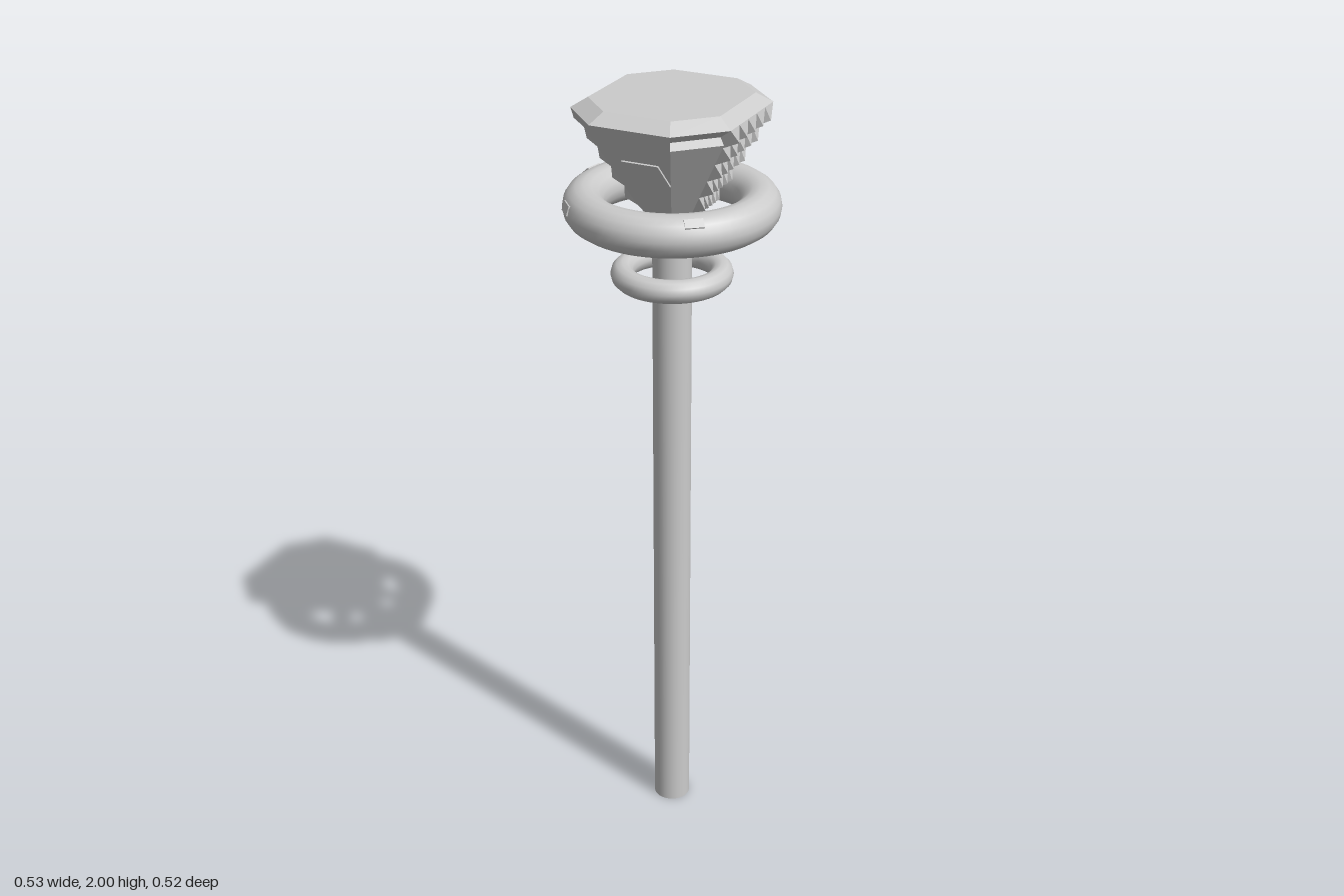
import * as THREE from 'three';

const V = (x, y, z) => new THREE.Vector3(x, y, z);
const smooth = new THREE.MeshStandardMaterial({ color: 0xcccccc });
const faceted = new THREE.MeshStandardMaterial({ color: 0xcccccc, flatShading: true });

// Collects polygons (counter-clockwise from outside) as triangle fans.
function polyMesh(name, polygons) {
  const pos = [];
  for (const p of polygons)
    for (let i = 1; i < p.length - 1; i++)
      for (const v of [p[0], p[i], p[i + 1]]) pos.push(v.x, v.y, v.z);
  const g = new THREE.BufferGeometry();
  g.setAttribute('position', new THREE.Float32BufferAttribute(pos, 3));
  g.computeVertexNormals();
  const mesh = new THREE.Mesh(g, faceted);
  mesh.name = name;
  return mesh;
}

// Point on a quad a-b (top edge) c-d (bottom edge); u along, v down.
const onQuad = ([a, b, c, d], u, v) => a.clone().lerp(b, u).lerp(d.clone().lerp(c, u), v);
const quadNormal = ([a, b, , d]) =>
  b.clone().sub(a).cross(d.clone().sub(a)).normalize();

function createHead() {
  const head = new THREE.Group();
  head.name = 'head';

  // Half of the eight-sided outline; the other half is its half-turn.
  const half = [[-0.058, -0.228], [0.085, -0.228], [0.228, -0.085], [0.228, 0.058]];
  const outline = [...half, ...half.map(([x, z]) => [-x, -z])];
  const level = (s, y) => outline.map(([x, z]) => V(x * s, y, z * s));
  const crown = level(0.825, 2), rim = level(1, 1.977), base = level(0.35, 1.735);

  const body = [crown.slice().reverse(), base];
  const spikes = [], plates = [];
  for (let i = 0; i < 8; i++) {
    const j = (i + 1) % 8;
    body.push([crown[i], crown[j], rim[j], rim[i]]);
    const q = [rim[i], rim[j], base[j], base[i]];
    const n = quadNormal(q);
    if (i === 4) {
      // Front facet with a slot cut under the rim
      const l = onQuad(q, 0, 0.17), r = onQuad(q, 1, 0.17);
      const li = l.clone().addScaledVector(n, -0.025), ri = r.clone().addScaledVector(n, -0.025);
      body.push([q[0], q[1], ri, li], [li, ri, r, l], [l, r, q[2], q[3]],
        [q[0], li, l], [q[1], r, ri]);
    } else body.push(q);

    if (i === 3 || i === 7) {
      // Grid of pyramids on the two wide facets
      const rows = 5, cols = 5;
      for (let a = 0; a < rows; a++) for (let b = 0; b < cols; b++) {
        const u0 = b / cols, u1 = (b + 1) / cols, v0 = a / rows, v1 = (a + 1) / rows;
        const c = [onQuad(q, u0, v0), onQuad(q, u1, v0), onQuad(q, u1, v1), onQuad(q, u0, v1)];
        const tip = onQuad(q, (u0 + u1) / 2, (v0 + v1) / 2).addScaledVector(n, 0.024);
        for (let k = 0; k < 4; k++) spikes.push([c[k], c[(k + 1) % 4], tip]);
      }
    }
    if (i === 1 || i === 5) {
      // Six-sided plate low on the two narrow facets
      const hex = [[0.2, 0.37], [0.8, 0.37], [1, 0.6], [0.8, 0.8], [0.2, 0.8], [0, 0.6]]
        .map(([u, v]) => onQuad(q, u, v));
      const top = hex.map(p => p.clone().addScaledVector(n, 0.004));
      plates.push(top);
      hex.forEach((p, k) => plates.push([top[k], p, hex[(k + 1) % 6], top[(k + 1) % 6]]));
    }
  }
  head.add(polyMesh('headBody', body), polyMesh('spikes', spikes), polyMesh('hexPlates', plates));
  return head;
}

function createRing(name, radius, tube, y, sides) {
  const ring = new THREE.Mesh(new THREE.TorusGeometry(radius, tube, sides, 64), smooth);
  ring.name = name;
  ring.rotation.x = Math.PI / 2;
  ring.position.y = y;
  return ring;
}

export function createModel() {
  const model = new THREE.Group();
  model.name = 'scepter';

  const shaft = new THREE.Mesh(new THREE.CylinderGeometry(0.048, 0.048, 1.77, 32), smooth);
  shaft.name = 'shaft';
  shaft.position.y = 0.885;

  model.add(shaft, createHead(),
    createRing('largeRing', 0.21, 0.051, 1.735, 16),
    createRing('smallRing', 0.12, 0.029, 1.56, 12));

  // Small inlays around the large ring: [angle from +z towards +x, tilt up]
  const inlays = [[-0.13, 0.9], [-2.54, 0.85], [3.0, 0.3], [-1.63, 0.3]];
  for (const [angle, tilt] of inlays) {
    const pivot = new THREE.Group();
    pivot.name = 'ringInlay';
    pivot.rotation.y = angle;
    pivot.position.y = 1.735;
    const inlay = new THREE.Mesh(new THREE.BoxGeometry(0.045, 0.024, 0.01), faceted);
    inlay.name = 'inlay';
    inlay.rotation.x = -tilt;
    inlay.position.set(0, Math.sin(tilt) * 0.047, 0.21 + Math.cos(tilt) * 0.047);
    pivot.add(inlay);
    model.add(pivot);
  }
  return model;
}
